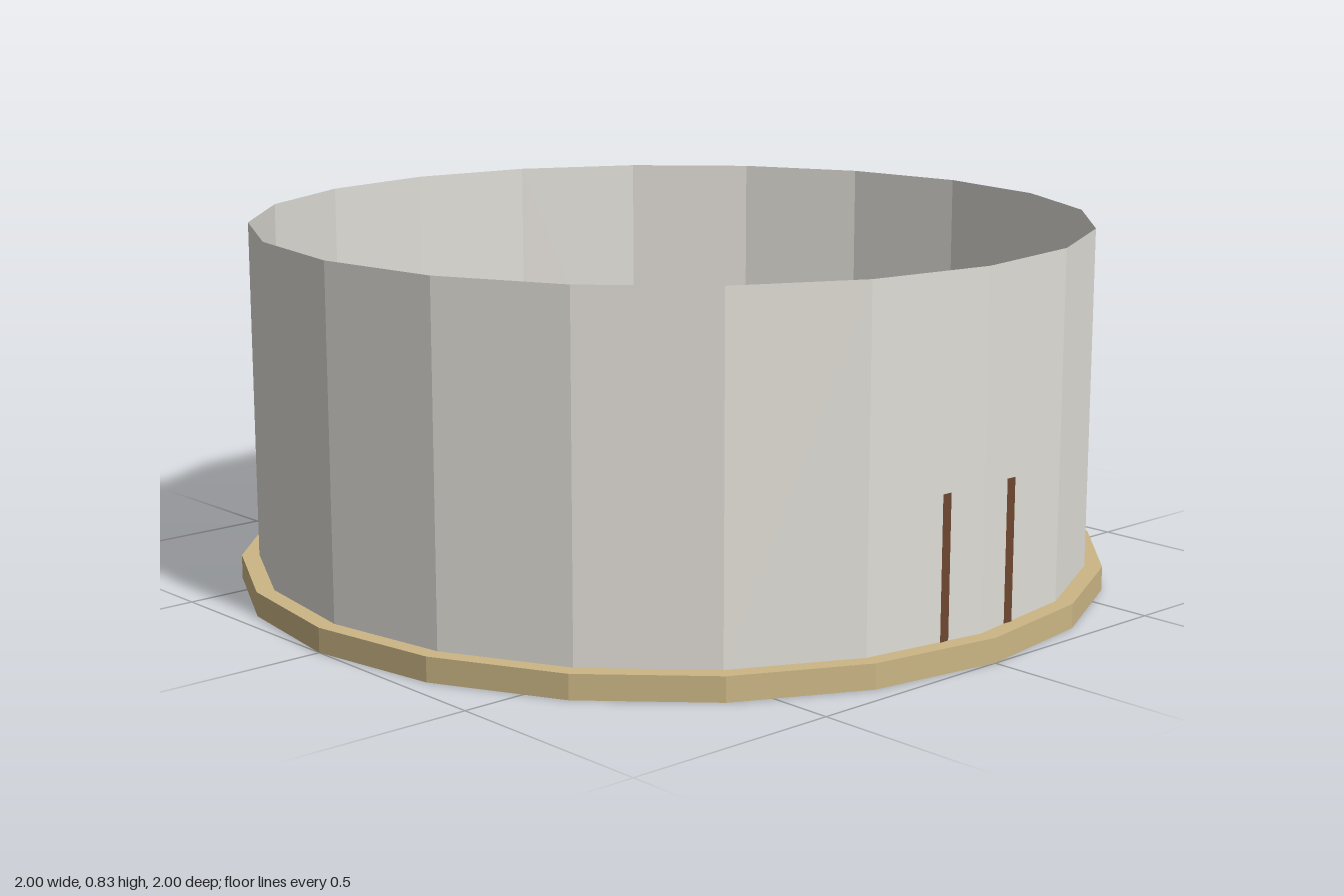
import * as THREE from 'three';
import { RoundedBoxGeometry } from 'three/addons/geometries/RoundedBoxGeometry.js';

const FLOOR = 0.055;

function mat(color) {
  return new THREE.MeshStandardMaterial({ color, flatShading: true });
}

function add(parent, name, geometry, material, x = 0, y = 0, z = 0) {
  const mesh = new THREE.Mesh(geometry, material);
  mesh.name = name;
  mesh.position.set(x, y, z);
  parent.add(mesh);
  return mesh;
}

export function createModel() {
  const model = new THREE.Group();
  model.name = 'roundTent';

  const tan = mat(0xcbb685);
  const canvas = mat(0xe0ddd6);
  const orange = mat(0xc8722e);
  const brown = mat(0x6e4630);
  const black = mat(0x2a2a2a);
  const red = mat(0xc4504a);
  const brass = mat(0x8a7038);
  for (const m of [canvas, orange, brown]) m.side = THREE.DoubleSide;

  // Floor platform
  add(model, 'platform', new THREE.CylinderGeometry(1, 1, FLOOR, 20), tan, 0, FLOOR / 2, 0);

  // Open canvas wall and the wooden band around its inside
  const wallHeight = 0.83 - FLOOR;
  add(model, 'wall', new THREE.CylinderGeometry(0.96, 0.96, wallHeight, 20, 1, true),
    canvas, 0, FLOOR + wallHeight / 2, 0);
  add(model, 'wallBand', new THREE.CylinderGeometry(0.952, 0.952, 0.05, 20, 1, true),
    orange, 0, 0.33, 0);

  // Door panel, its edges just breaking through the wall, and its knob
  const doorHeight = 0.37 - FLOOR;
  add(model, 'door', new THREE.PlaneGeometry(0.224, doorHeight),
    brown, 0, FLOOR + doorHeight / 2, 0.9462);
  add(model, 'doorKnob', new THREE.SphereGeometry(0.009, 8, 6), brass, 0.08, 0.21, 0.932);

  // Beds on both sides
  for (const side of [-1, 1]) {
    const bed = new THREE.Group();
    bed.name = side > 0 ? 'leftBed' : 'rightBed';
    bed.position.set(side * 0.597, FLOOR, 0);
    add(bed, 'bedFrame', new RoundedBoxGeometry(0.25, 0.075, 0.385, 1, 0.008), orange, 0, 0.0375, 0);
    add(bed, 'mattress', new THREE.BoxGeometry(0.225, 0.035, 0.34), canvas, 0, 0.085, 0);
    model.add(bed);
  }

  // Stove with its pipe
  const stove = new THREE.Group();
  stove.name = 'stove';
  stove.position.y = FLOOR;
  add(stove, 'stoveBody', new THREE.CylinderGeometry(0.08, 0.08, 0.14, 10), black, 0, 0.07, 0);
  add(stove, 'stovePipe', new THREE.CylinderGeometry(0.017, 0.017, 0.25, 8), black, 0, 0.265, 0);
  model.add(stove);

  // Round rug in front of the stove
  add(model, 'rug', new THREE.CylinderGeometry(0.222, 0.222, 0.012, 14), red, 0, FLOOR + 0.006, 0.295);

  return model;
}
